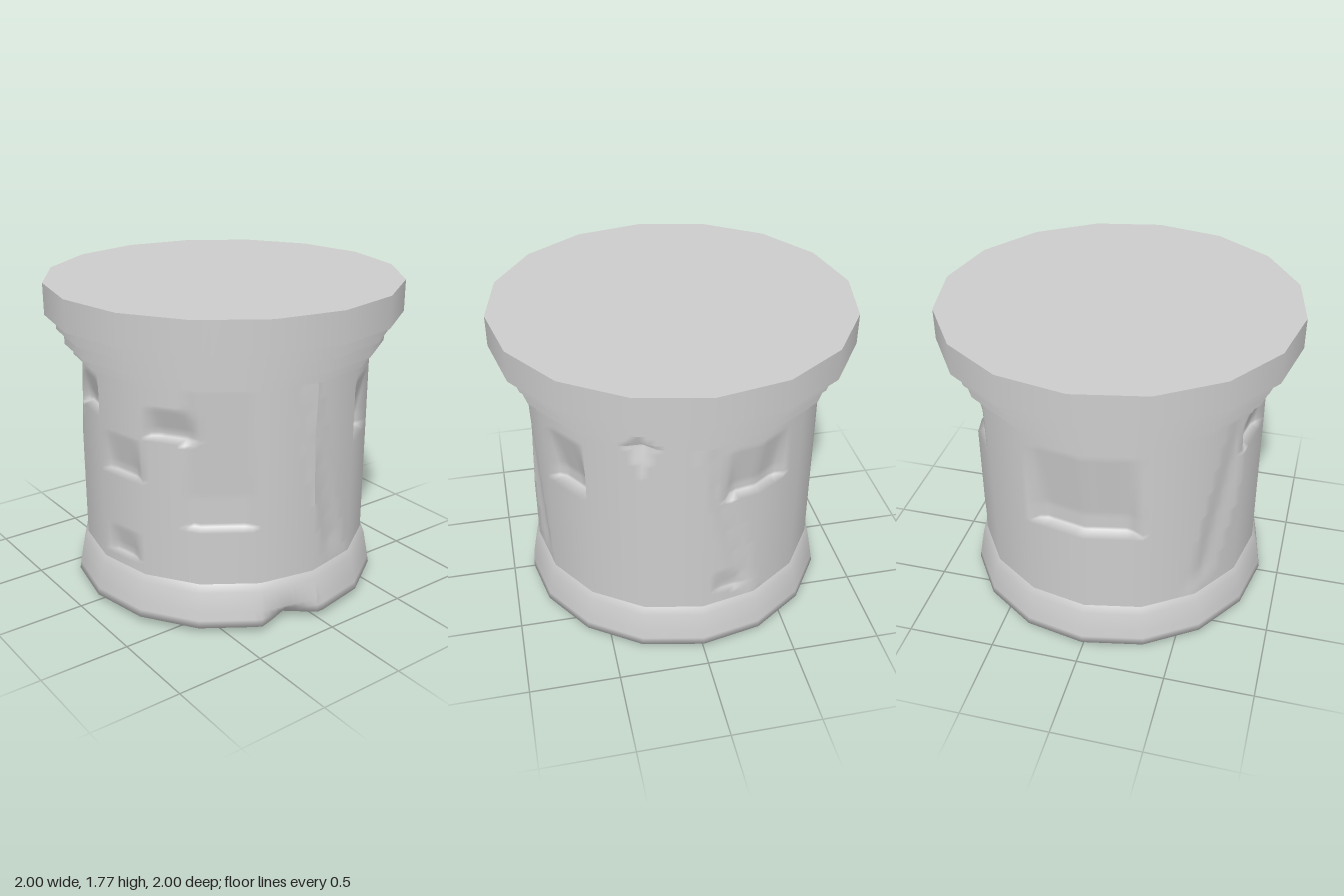
import * as THREE from 'three';

const SIDES = 16, STEP = 360 / SIDES, COLUMNS = 128;
const stone = new THREE.MeshStandardMaterial({ color: 0xcccccc });
const { clamp, smoothstep } = THREE.MathUtils;

// Broken recesses: [start angle, end angle, ledge y, top y, depth at ledge].
// Angles are in degrees from the front (+z) towards +x.
const chips = [
  [22.5, 45, 0.93, 1.28, 0.07],
  [98, 127, 0.98, 1.3, 0.05],
  [93, 109, 0.35, 0.5, 0.02],
  [157.5, 202.5, 0.76, 1.28, 0.06],
  [247.5, 270, 1.1, 1.32, 0.05],
  [270, 292.5, 0.8, 1.05, 0.04],
  [272, 290, 0.33, 0.5, 0.03],
  [292.5, 315, 1.07, 1.25, 0.05],
  [308, 337.5, 0.59, 1.36, 0.04],
];

// Slanting shallow grooves: [angle at top, angle at bottom, half width, depth]
const grooves = [
  [-6, 14, 7, 0.015],
  [91, 110, 6, 0.015],
  [248, 226, 9, 0.018],
];

const angleGap = (a, b) => Math.abs(((a - b + 540) % 360) - 180);

function shaftDent(a, y) {
  let d = 0;
  for (const [a0, a1, ledge, top, depth] of chips) {
    if (y < ledge || y > top) continue;
    const side = clamp(Math.min(a - a0, a1 - a) / 4, 0, 1);
    d = Math.max(d, depth * side * Math.min(1, 1.3 * (top - y) / (top - ledge)));
  }
  for (const [aTop, aBottom, half, depth] of grooves) {
    const t = (1.37 - y) / 1.1;
    const gap = angleGap(a, aTop + (aBottom - aTop) * t);
    const fade = smoothstep(y, 0.27, 0.45);
    d = Math.max(d, depth * fade * Math.max(0, 1 - gap / half));
  }
  return Math.max(d, ringDent(a, y));
}

// Split running from the lower mouldings into the shaft
function ringDent(a, y) {
  const reach = y > 1.37 ? (1.53 - y) / 0.16 : (y - 1.17) / 0.2;
  if (reach <= 0) return 0;
  return 0.06 * Math.max(0, reach - angleGap(a, 67.5) / 7);
}

// Bite out of the lower rim
function baseDent(a, y) {
  return 0.1 * Math.max(0, 1 - angleGap(a, 349) / 12) * clamp((0.12 - y) / 0.08, 0, 1);
}

// Pull a round geometry onto sixteen flats, then press the damage into it
function carve(geometry, dent) {
  const p = geometry.attributes.position;
  const smooth = geometry.attributes.normal.clone();
  const dented = [];
  for (let i = 0; i < p.count; i++) {
    const x = p.getX(i), y = p.getY(i), z = p.getZ(i);
    const r = Math.hypot(x, z);
    if (r < 1e-6) continue;
    const a = (THREE.MathUtils.radToDeg(Math.atan2(x, z)) + 360) % 360;
    const local = THREE.MathUtils.degToRad((a % STEP) - STEP / 2);
    const flat = Math.cos(Math.PI / SIDES) / Math.cos(local);
    const d = r > 0.5 ? dent(a, y) : 0;
    dented[i] = d > 0;
    const k = flat - d / r;
    p.setXYZ(i, x * k, y, z * k);
  }
  // untouched stone keeps its smooth round shading
  geometry.computeVertexNormals();
  const n = geometry.attributes.normal;
  for (let i = 0; i < p.count; i++) {
    if (!dented[i]) n.setXYZ(i, smooth.getX(i), smooth.getY(i), smooth.getZ(i));
  }
  return geometry;
}

export function createModel() {
  const group = new THREE.Group();
  const add = (name, geometry) => {
    const mesh = new THREE.Mesh(geometry, stone);
    mesh.name = name;
    group.add(mesh);
  };
  const drum = (radius, y0, y1, rows, open) =>
    new THREE.CylinderGeometry(radius, radius, y1 - y0, COLUMNS, rows, open)
      .translate(0, (y0 + y1) / 2, 0);

  // Worn shaft
  add('shaft', carve(drum(0.825, 0.25, 1.38, 56, true), shaftDent));

  // Stepped mouldings and top slab
  add('lowerMoulding', carve(drum(0.855, 1.37, 1.43, 2, false), ringDent));
  add('middleMoulding', carve(drum(0.9, 1.43, 1.515, 2, false), ringDent));
  add('upperMoulding', carve(drum(0.94, 1.515, 1.6, 1, false), () => 0));
  add('topSlab', carve(drum(1, 1.6, 1.775, 1, false), () => 0));

  // Flared foot with a bevelled lower rim
  const profile = [[0.72, 0], [0.885, 0.035], [0.878, 0.075], [0.87, 0.12], [0.85, 0.23], [0.822, 0.275]]
    .map(([r, y]) => new THREE.Vector2(r, y));
  add('foot', carve(new THREE.LatheGeometry(profile, COLUMNS), baseDent));

  // Underside
  const under = new THREE.CircleGeometry(0.72, COLUMNS).rotateX(Math.PI / 2);
  add('underside', carve(under, baseDent));

  return group;
}
